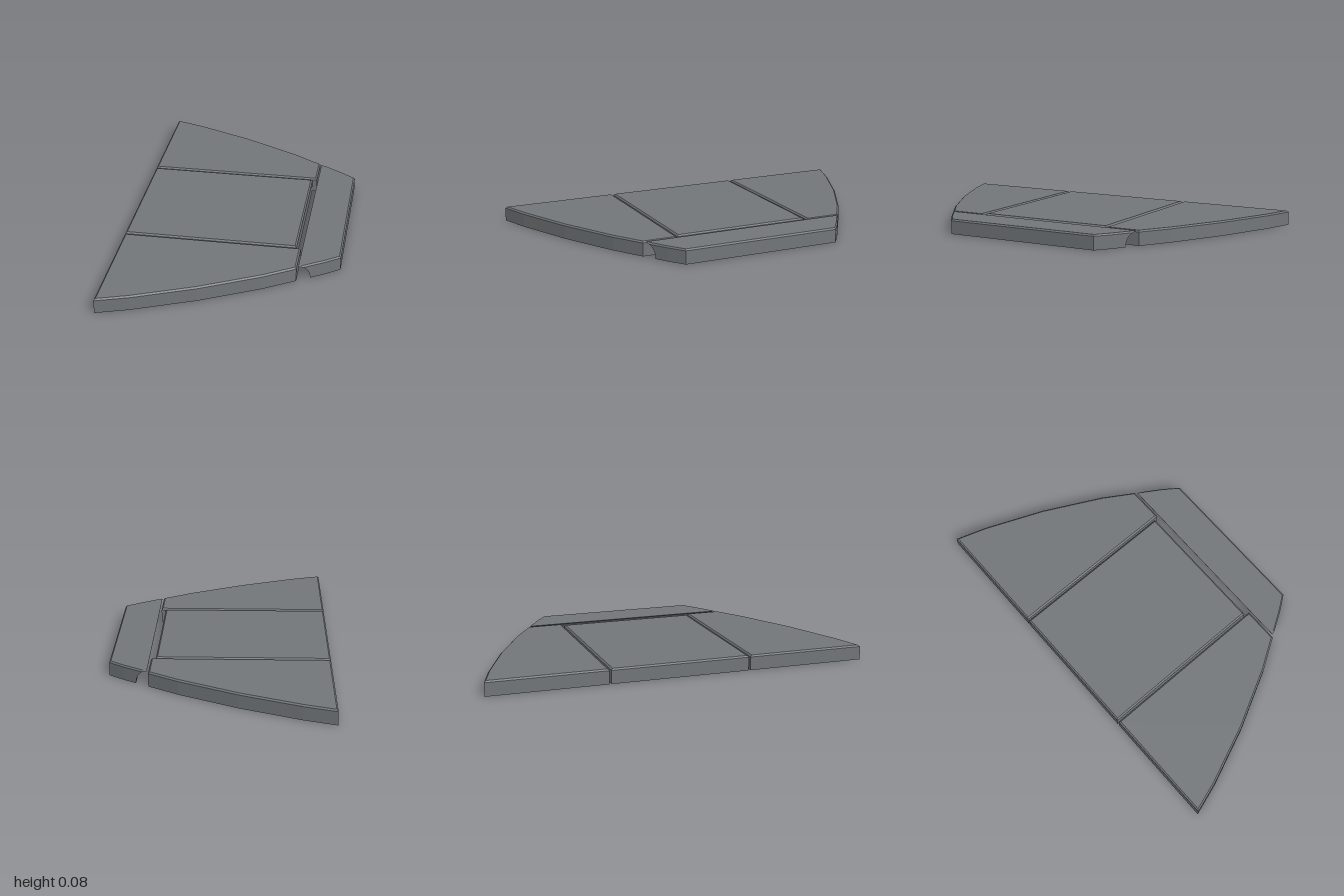
import * as THREE from 'three';

const HEIGHT = 0.078, BEVEL = 0.008;

// Joins rings of equal point count; points run counter-clockwise seen from the far end.
function loft(rings) {
  const n = rings[0].length, index = [];
  for (let r = 0; r < rings.length - 1; r++) {
    for (let j = 0; j < n; j++) {
      const a = r * n + j, b = r * n + (j + 1) % n;
      index.push(a, b, b + n, a, b + n, a + n);
    }
  }
  const last = (rings.length - 1) * n;
  for (let j = 1; j < n - 1; j++) {
    index.push(0, j + 1, j, last, last + j, last + j + 1);
  }
  const geo = new THREE.BufferGeometry();
  geo.setAttribute('position', new THREE.Float32BufferAttribute(rings.flat(2), 3));
  geo.setIndex(index);
  const flat = geo.toNonIndexed();
  flat.computeVertexNormals();
  return flat;
}

// Moves every edge of a convex counter-clockwise outline inward by d.
function inset(outline, d) {
  const n = outline.length;
  const normal = (p, q) => new THREE.Vector2(p.y - q.y, q.x - p.x).normalize();
  return outline.map((p, i) => {
    const n1 = normal(outline[(i + n - 1) % n], p);
    const n2 = normal(p, outline[(i + 1) % n]);
    const miter = n1.clone().add(n2).multiplyScalar(d / (1 + n1.dot(n2)));
    return p.clone().add(miter);
  });
}

// Flat slab with a chamfered upper edge; outline is [x, -z].
function slab(points) {
  const outline = points.map(([x, y]) => new THREE.Vector2(x, y));
  const ring = (pts, h) => pts.map(p => [p.x, h, -p.y]);
  return loft([
    ring(outline, 0),
    ring(outline, HEIGHT - BEVEL),
    ring(inset(outline, BEVEL), HEIGHT),
  ]);
}

// Tapered edge strip: cross-sections along x, with a concave cove facing the panels.
function edgeStrip() {
  const x0 = 0.365, x1 = 0.422, end = 0.567, steps = 24;
  const edge = [[x0, 0.552], [0.387, 0.546], [0.487, 0.483], [end, 0.425]];
  const halfWidth = x => {
    let i = 0;
    while (i < edge.length - 2 && x > edge[i + 1][0]) i++;
    const [a, b] = [edge[i], edge[i + 1]];
    return a[1] + (b[1] - a[1]) * (x - a[0]) / (b[0] - a[0]);
  };
  const section = (x, bottom, top = HEIGHT) => {
    const w = halfWidth(x), mid = Math.max(bottom, HEIGHT - BEVEL);
    const t = w - BEVEL;
    return [[x, bottom, w], [x, bottom, -w], [x, mid, -w], [x, top, -t], [x, top, t], [x, mid, w]];
  };
  const rings = [];
  for (let i = 0; i <= steps; i++) {
    const a = (i / steps) * Math.PI / 2;
    rings.push(section(x0 + (x1 - x0) * Math.sin(a), (HEIGHT - 0.002) * Math.cos(a)));
  }
  rings.push(section(0.487, 0), section(end - BEVEL, 0), section(end, 0, HEIGHT - BEVEL));
  return loft(rings);
}

export function createModel() {
  const group = new THREE.Group();
  const material = new THREE.MeshStandardMaterial({ color: 0x727679 });
  const add = (name, geometry) => {
    const mesh = new THREE.Mesh(geometry, material);
    mesh.name = name;
    group.add(mesh);
  };

  // Centre panel
  add('centrePanel', slab([[-0.567, -0.366], [0.333, -0.366], [0.333, 0.366], [-0.567, 0.366]]));

  // Outer panels with curved outer edges, mirrored front to back
  const outer = [
    [-0.567, -0.376], [-0.567, -1], [-0.403, -0.946], [-0.1, -0.819],
    [0.2, -0.664], [0.357, -0.565], [0.357, -0.376],
  ];
  add('frontPanel', slab(outer));
  add('backPanel', slab(outer.map(([x, y]) => [x, -y]).reverse()));

  // Separate strip along the short edge
  add('edgeStrip', edgeStrip());
  return group;
}
